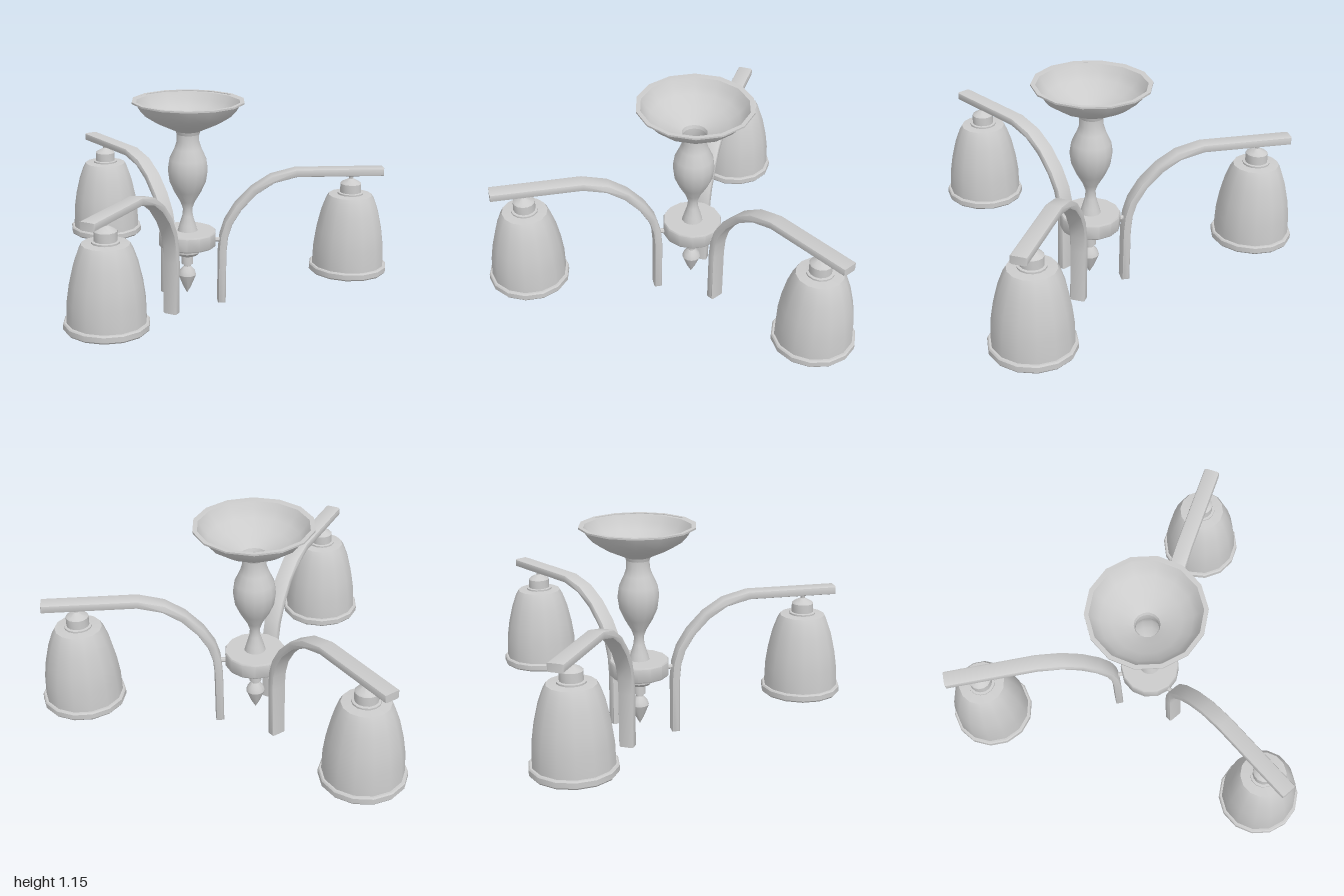
import * as THREE from 'three';
import { toCreasedNormals } from 'three/addons/utils/BufferGeometryUtils.js';

const SIDES = 14;
const material = new THREE.MeshStandardMaterial({ color: 0xcccccc, side: THREE.DoubleSide });

function addMesh(parent, name, geometry) {
  const mesh = new THREE.Mesh(toCreasedNormals(geometry, 0.62), material);
  mesh.name = name;
  parent.add(mesh);
  return mesh;
}

// Turned part from [radius, height] pairs, listed bottom to top
function turned(parent, name, profile) {
  const points = profile.map(([r, y]) => new THREE.Vector2(r, y));
  return addMesh(parent, name, new THREE.LatheGeometry(points, SIDES));
}

// Flat bar of the given width, bent along a centre line in the xy plane
function bentBar(path, thickness, width, bevel) {
  const half = thickness / 2 - bevel;
  const normals = path.map((p, i) => {
    const a = path[Math.max(i - 1, 0)], b = path[Math.min(i + 1, path.length - 1)];
    const t = b.clone().sub(a).normalize();
    return new THREE.Vector2(t.y, -t.x);
  });
  const side = s => path.map((p, i) => p.clone().addScaledVector(normals[i], s * half));
  const shape = new THREE.Shape([...side(1), ...side(-1).reverse()]);
  const geometry = new THREE.ExtrudeGeometry(shape, {
    depth: width - 2 * bevel, bevelSize: bevel, bevelThickness: bevel, bevelSegments: 2,
  });
  geometry.translate(0, 0, -width / 2 + bevel);
  return geometry;
}

function createLamp() {
  const lamp = new THREE.Group();
  lamp.name = 'lamp';
  turned(lamp, 'shade', [
    [0.195, 0.18], [0.21, 0.18], [0.216, 0.188], [0.216, 0.215], [0.21, 0.222], [0.2, 0.222],
    [0.196, 0.33], [0.183, 0.42], [0.16, 0.52], [0.135, 0.59], [0.12, 0.617], [0.06, 0.622],
  ]);
  turned(lamp, 'shadeRimInside', [[0.195, 0.18], [0.195, 0.222], [0.2, 0.222]]);
  turned(lamp, 'fitter', [
    [0.071, 0.615], [0.071, 0.63], [0.058, 0.632], [0.058, 0.68], [0.05, 0.688],
    [0.022, 0.703], [0.012, 0.708], [0.012, 0.718], [0.02, 0.735],
  ]);
  turned(lamp, 'bulb', [
    [0, 0.135], [0.033, 0.17], [0.055, 0.22], [0.068, 0.28], [0.068, 0.34],
    [0.055, 0.42], [0.035, 0.49], [0.03, 0.62],
  ]);
  return lamp;
}

export function createModel() {
  const model = new THREE.Group();
  model.name = 'ceilingLight';
  const light = new THREE.Group();
  light.name = 'fixture';
  light.position.z = -0.222;
  model.add(light);

  // Central column, open at the top
  turned(light, 'canopy', [
    [0.062, 0.97], [0.068, 0.988], [0.115, 1.01], [0.18, 1.04], [0.235, 1.075],
    [0.265, 1.11], [0.285, 1.145], [0.307, 1.146], [0.307, 1.155], [0.285, 1.155],
  ]);
  turned(light, 'stem', [
    [0.056, 0.42], [0.045, 0.46], [0.03, 0.51], [0.026, 0.55], [0.04, 0.59], [0.075, 0.65],
    [0.102, 0.71], [0.111, 0.775], [0.103, 0.83], [0.075, 0.89], [0.062, 0.93], [0.062, 0.97],
  ]);
  turned(light, 'hub', [
    [0, 0.23], [0.033, 0.23], [0.033, 0.275], [0.058, 0.285], [0.07, 0.3], [0.07, 0.31],
    [0.088, 0.315], [0.09, 0.34], [0.155, 0.34], [0.16, 0.347], [0.16, 0.417],
    [0.155, 0.425], [0.056, 0.425],
  ]);
  turned(light, 'finial', [
    [0, 0.055], [0.022, 0.095], [0.05, 0.165], [0.042, 0.19], [0.02, 0.215], [0.02, 0.235],
  ]);

  // Three arms, each with its lamp
  const armPath = [
    [0.194, 0.012], [0.194, 0.3], [0.202, 0.39], [0.226, 0.47], [0.28, 0.56],
    [0.365, 0.65], [0.465, 0.715], [0.595, 0.749], [1.065, 0.749],
  ].map(p => new THREE.Vector2(...p));

  for (let i = 0; i < 3; i++) {
    const branch = new THREE.Group();
    branch.name = 'branch' + (i + 1);
    branch.rotation.y = i * Math.PI * 2 / 3;
    light.add(branch);

    const arm = addMesh(branch, 'arm', bentBar(armPath, 0.043, 0.086, 0.011));
    arm.rotation.y = -Math.PI / 2;

    const peg = addMesh(branch, 'peg', new THREE.CylinderGeometry(0.013, 0.013, 0.06, 8));
    peg.rotation.x = Math.PI / 2;
    peg.position.set(0, 0.368, 0.17);

    const lamp = createLamp();
    lamp.position.z = 0.902;
    branch.add(lamp);
  }
  return model;
}
